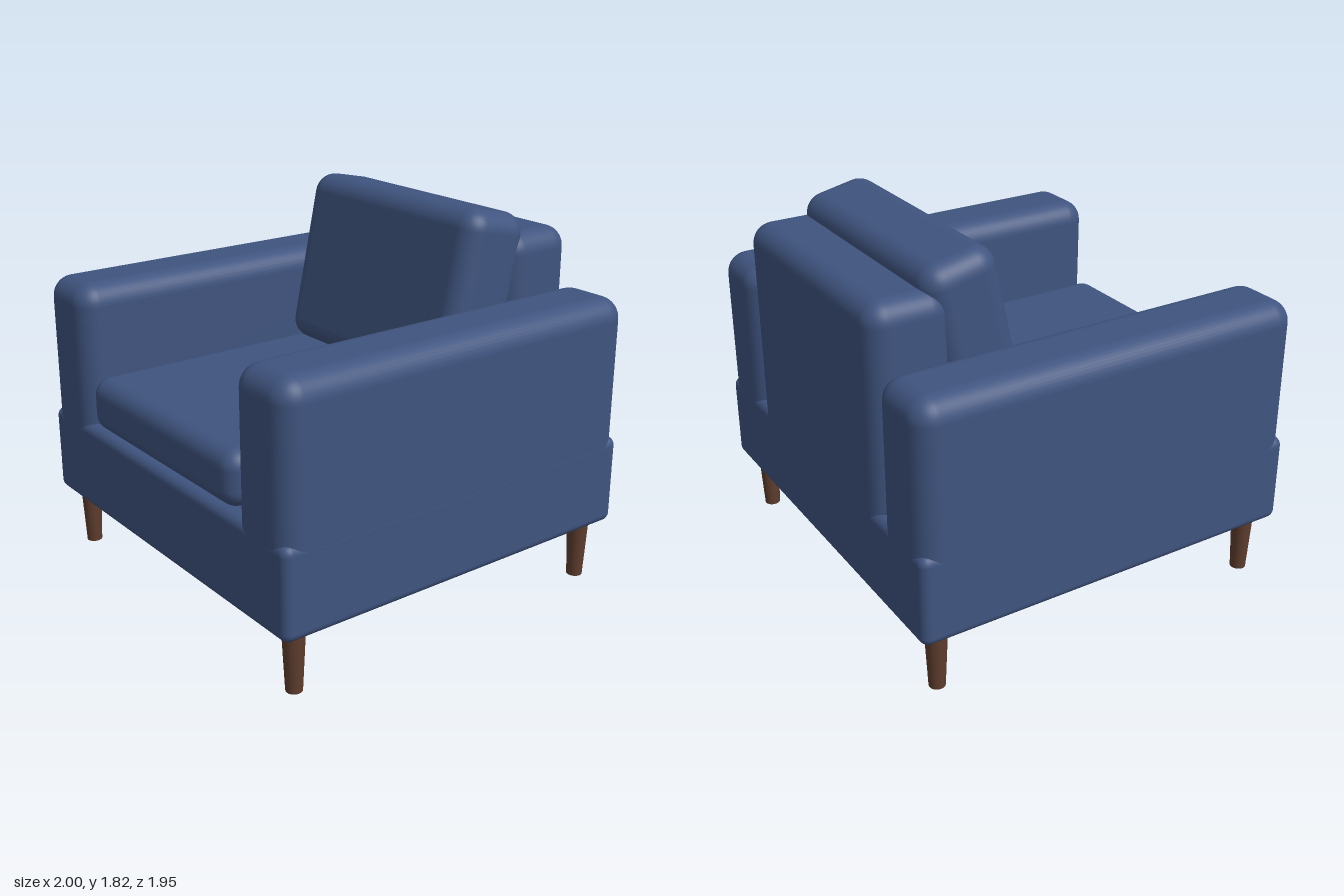
import * as THREE from 'three';
import { RoundedBoxGeometry } from 'three/addons/geometries/RoundedBoxGeometry.js';

export function createModel() {
  const model = new THREE.Group();
  model.name = 'armchair';

  const fabric = new THREE.MeshStandardMaterial({ color: 0x3f547f });
  fabric.name = 'blue fabric';
  const wood = new THREE.MeshStandardMaterial({ color: 0x5f3d2e });
  wood.name = 'dark wood';

  // Soft-edged upholstered block given by its limits on each axis
  function pad(name, [x0, x1], [y0, y1], [z0, z1], radius) {
    const mesh = new THREE.Mesh(
      new RoundedBoxGeometry(x1 - x0, y1 - y0, z1 - z0, 5, radius), fabric);
    mesh.position.set((x0 + x1) / 2, (y0 + y1) / 2, (z0 + z1) / 2);
    mesh.name = name;
    model.add(mesh);
    return mesh;
  }

  // Frame
  pad('base', [-1, 1], [0.295, 0.735], [-0.975, 0.975], 0.045);
  pad('leftArm', [0.628, 1], [0.6, 1.425], [-0.975, 0.975], 0.105);
  pad('rightArm', [-1, -0.628], [0.6, 1.425], [-0.975, 0.975], 0.105);
  pad('back', [-0.622, 0.622], [0.6, 1.69], [-0.975, -0.58], 0.1);

  // Cushions, the back one leaning backwards
  pad('seatCushion', [-0.612, 0.612], [0.735, 1.0], [-0.6, 0.97], 0.085);
  const backCushion = pad('backCushion', [-0.612, 0.612], [0.954, 1.814], [-0.637, -0.267], 0.1);
  backCushion.rotation.x = -0.21;

  // Tapered legs
  const legGeometry = new THREE.CylinderGeometry(0.053, 0.038, 0.31, 20);
  for (const x of [-1, 1]) {
    for (const z of [-1, 1]) {
      const leg = new THREE.Mesh(legGeometry, wood);
      leg.position.set(x * 0.89, 0.155, z * 0.857);
      leg.name = (z > 0 ? 'front' : 'back') + (x > 0 ? 'Left' : 'Right') + 'Leg';
      model.add(leg);
    }
  }
  return model;
}
